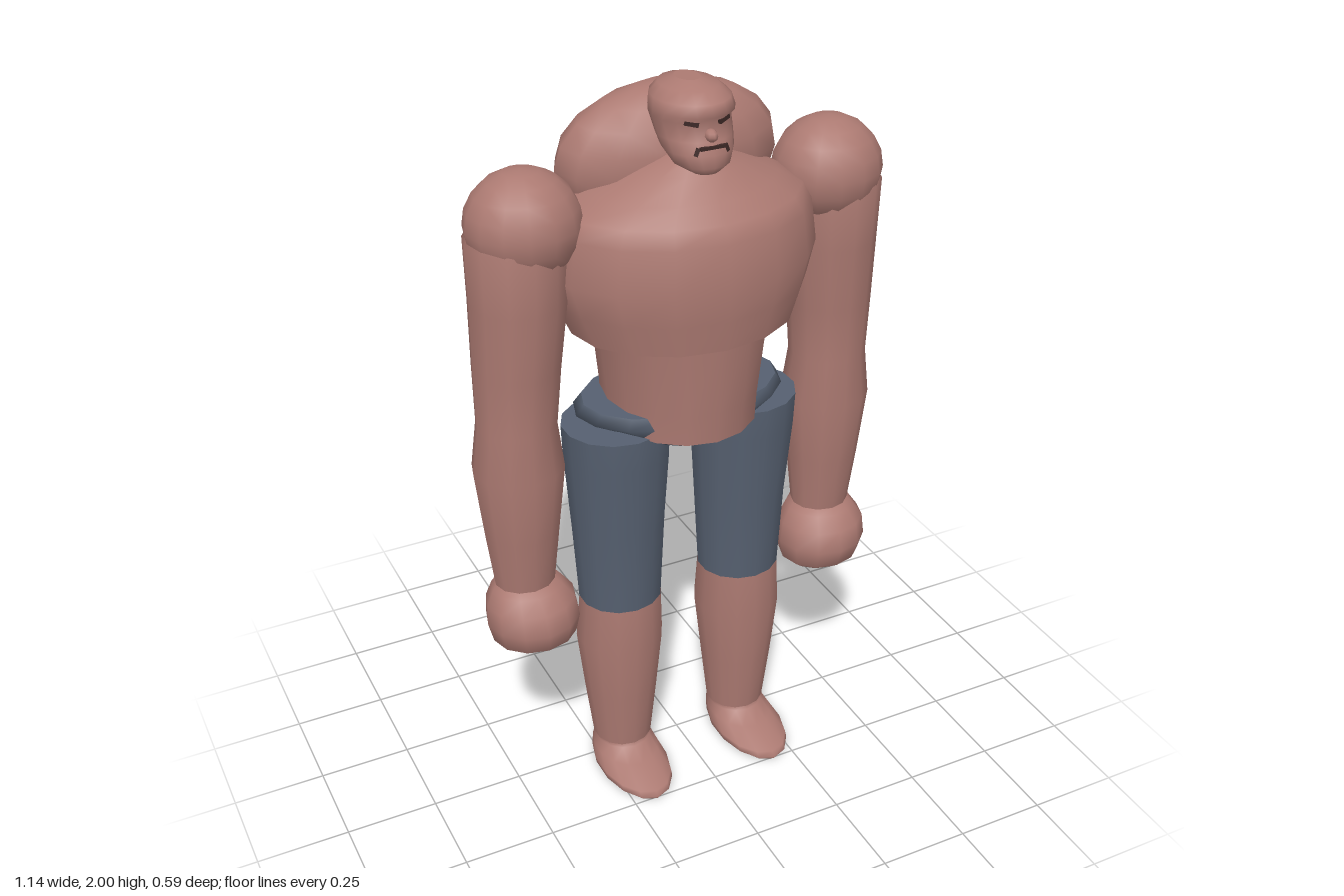
import * as THREE from 'three';

const skin = new THREE.MeshStandardMaterial({ color: 0xac7a72 });
skin.name = 'skin';
const cloth = new THREE.MeshStandardMaterial({ color: 0x566070 });
cloth.name = 'blue cloth';
const dark = new THREE.MeshStandardMaterial({ color: 0x3c2826 });
dark.name = 'dark face detail';

// Lofts elliptical sections [y, cx, cz, rx, rz], listed bottom to top, with flat caps.
function loft(sections, sides) {
  const pos = [], idx = [];
  const ring = ([y, cx, cz, rx, rz]) => {
    const start = pos.length / 3;
    for (let j = 0; j < sides; j++) {
      const a = (j / sides) * Math.PI * 2;
      pos.push(cx + rx * Math.sin(a), y, cz + rz * Math.cos(a));
    }
    return start;
  };
  const starts = sections.map(ring);
  for (let i = 0; i < starts.length - 1; i++) {
    for (let j = 0; j < sides; j++) {
      const k = (j + 1) % sides;
      const a = starts[i] + j, b = starts[i] + k, c = starts[i + 1] + k, d = starts[i + 1] + j;
      idx.push(a, b, c, a, c, d);
    }
  }
  // caps use their own vertices so that their rims stay sharp
  [sections[0], sections[sections.length - 1]].forEach((s, top) => {
    const r = ring(s), centre = pos.length / 3;
    pos.push(s[1], s[0], s[2]);
    for (let j = 0; j < sides; j++) {
      const k = (j + 1) % sides;
      if (top) idx.push(centre, r + j, r + k);
      else idx.push(centre, r + k, r + j);
    }
  });
  const g = new THREE.BufferGeometry();
  g.setAttribute('position', new THREE.Float32BufferAttribute(pos, 3));
  g.setIndex(idx);
  g.computeVertexNormals();
  return g;
}

function add(parent, name, geometry, material, x = 0, y = 0, z = 0) {
  const m = new THREE.Mesh(geometry, material);
  m.name = name;
  m.position.set(x, y, z);
  parent.add(m);
  return m;
}

function buildTorso(model) {
  add(model, 'chest', loft([
    [1.38, 0, 0.025, 0.30, 0.25],
    [1.46, 0, 0.01, 0.335, 0.275],
    [1.545, 0, 0, 0.362, 0.295],
    [1.66, 0, 0.004, 0.345, 0.28],
    [1.70, 0, 0.008, 0.32, 0.25],
    [1.74, 0, 0.015, 0.25, 0.207],
    [1.79, 0, 0.03, 0.15, 0.145],
    [1.83, 0, 0.06, 0.06, 0.08],
  ], 16), skin);
  add(model, 'waist', loft([
    [1.10, 0, 0.01, 0.20, 0.222],
    [1.18, 0, 0.012, 0.203, 0.225],
    [1.40, 0, 0.018, 0.228, 0.238],
  ], 16), skin);
  add(model, 'pelvis', loft([
    [1.06, 0, -0.005, 0.16, 0.165],
    [1.10, 0, 0.005, 0.22, 0.185],
    [1.135, 0, 0.01, 0.29, 0.185],
    [1.165, 0, 0.015, 0.27, 0.17],
  ], 16), cloth);
  // upper back hump, leaning forward
  const hump = add(model, 'upperBack', new THREE.SphereGeometry(1, 14, 10), skin, 0, 1.775, -0.055);
  hump.scale.set(0.298, 0.19, 0.145);
  hump.rotation.x = 0.12;
}

function buildHead(model) {
  const head = new THREE.Group();
  head.name = 'head';
  model.add(head);
  add(head, 'skull', loft([
    [1.80, 0, 0.15, 0.035, 0.035],
    [1.82, 0, 0.13, 0.07, 0.072],
    [1.85, 0, 0.11, 0.086, 0.088],
    [1.88, 0, 0.09, 0.092, 0.098],
    [1.92, 0, 0.068, 0.097, 0.1],
    [1.94, 0, 0.078, 0.1, 0.118],
    [1.965, 0, 0.07, 0.095, 0.11],
    [1.987, 0, 0.06, 0.07, 0.085],
    [2.0, 0, 0.055, 0.03, 0.04],
  ], 16), skin);
  const nose = add(head, 'nose', new THREE.SphereGeometry(1, 8, 6), skin, 0, 1.893, 0.178);
  nose.scale.set(0.016, 0.016, 0.022);
  // narrow eyes and a downturned mouth
  for (const s of [1, -1]) {
    const eye = add(head, 'eye', new THREE.BoxGeometry(0.034, 0.011, 0.008), dark, s * 0.042, 1.922, 0.162);
    eye.rotation.set(0, s * 0.42, s * 0.2);
    const corner = add(head, 'mouthCorner', new THREE.BoxGeometry(0.01, 0.02, 0.008), dark, s * 0.038, 1.86, 0.183);
    corner.rotation.set(-0.15, s * 0.42, s * 0.4);
  }
  add(head, 'mouth', new THREE.BoxGeometry(0.066, 0.008, 0.008), dark, 0, 1.868, 0.19);
}

function buildArm(model, side) {
  const arm = new THREE.Group();
  arm.name = side > 0 ? 'leftArm' : 'rightArm';
  model.add(arm);
  const part = (name, rows, sides) => add(arm, name,
    loft(rows.map(([y, cx, ...rest]) => [y, cx * side, ...rest]), sides), skin);
  const shoulder = add(arm, 'shoulder', new THREE.SphereGeometry(1, 14, 10), skin, side * 0.412, 1.692, 0.022);
  shoulder.scale.set(0.145, 0.138, 0.136);
  part('armShaft', [
    [0.67, 0.45, 0.004, 0.08, 0.074],
    [0.84, 0.451, 0.004, 0.1, 0.093],
    [1.03, 0.45, 0.003, 0.121, 0.115],
    [1.16, 0.45, 0.006, 0.104, 0.103],
    [1.32, 0.444, 0.01, 0.112, 0.112],
    [1.50, 0.434, 0.015, 0.122, 0.124],
    [1.66, 0.432, 0.018, 0.127, 0.128],
    [1.74, 0.42, 0.02, 0.09, 0.09],
  ], 12);
  part('fist', [
    [0.502, 0.438, 0.03, 0.085, 0.075],
    [0.525, 0.44, 0.03, 0.115, 0.105],
    [0.58, 0.442, 0.03, 0.127, 0.122],
    [0.635, 0.445, 0.025, 0.121, 0.112],
    [0.67, 0.448, 0.01, 0.095, 0.09],
    [0.683, 0.45, 0.004, 0.08, 0.075],
  ], 12);
}

function buildLeg(model, side) {
  const leg = new THREE.Group();
  leg.name = side > 0 ? 'leftLeg' : 'rightLeg';
  model.add(leg);
  const part = (name, rows, material, sides) => add(leg, name,
    loft(rows.map(([y, cx, ...rest]) => [y, cx * side, ...rest]), sides), material);
  part('trouserLeg', [
    [0.565, 0.181, 0.018, 0.114, 0.11],
    [0.80, 0.182, 0.018, 0.128, 0.115],
    [1.02, 0.184, 0.02, 0.142, 0.135],
    [1.105, 0.185, 0.02, 0.144, 0.139],
  ], cloth, 14);
  part('calf', [
    [0.08, 0.182, 0.015, 0.082, 0.084],
    [0.25, 0.183, 0.014, 0.102, 0.102],
    [0.43, 0.183, 0.012, 0.121, 0.119],
    [0.565, 0.181, 0.018, 0.114, 0.11],
  ], skin, 14);
  part('foot', [
    [0, 0.186, 0.09, 0.085, 0.165],
    [0.008, 0.186, 0.088, 0.097, 0.172],
    [0.022, 0.186, 0.082, 0.097, 0.167],
    [0.045, 0.184, 0.037, 0.087, 0.118],
    [0.068, 0.182, 0.016, 0.077, 0.084],
    [0.085, 0.182, 0.015, 0.08, 0.082],
  ], skin, 14);
}

export function createModel() {
  const model = new THREE.Group();
  model.name = 'figure';
  buildTorso(model);
  buildHead(model);
  for (const side of [1, -1]) {
    buildArm(model, side);
    buildLeg(model, side);
  }
  return model;
}
